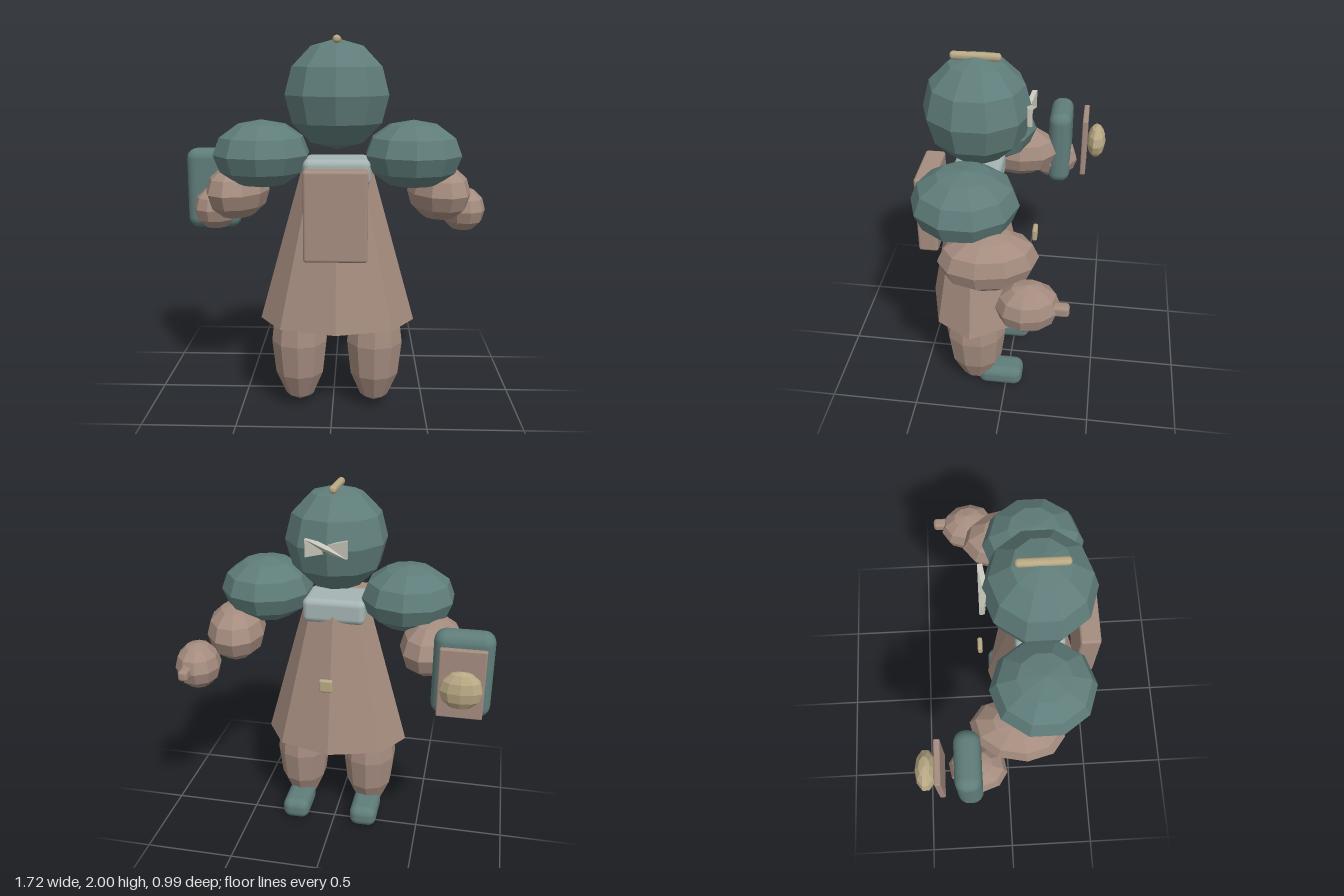
import * as THREE from 'three';
import { RoundedBoxGeometry } from 'three/addons/geometries/RoundedBoxGeometry.js';

const CX = 0.022; // body centre line

export function createModel() {
  const model = new THREE.Group();
  model.name = 'robedFigure';

  const mat = (name, color, flatShading = false) => {
    const m = new THREE.MeshStandardMaterial({ color, flatShading });
    m.name = name;
    return m;
  };
  const teal = mat('teal', 0x5f7d7a, true);
  const brown = mat('brown', 0xa58c7f, true);
  const tan = mat('tan', 0xb8a884, true);
  const bone = mat('bone', 0xc6c5ba, true);
  const mist = mat('mist', 0xa5b5b3, true);

  const add = (name, geometry, material, x, y, z, yaw = 0) => {
    const mesh = new THREE.Mesh(geometry, material);
    mesh.name = name;
    mesh.position.set(x, y, z);
    mesh.rotation.y = yaw;
    model.add(mesh);
    return mesh;
  };

  // Faceted ellipsoid with a vertex on the z axis
  const blob = (rx, ry, rz) => new THREE.SphereGeometry(1, 10, 6).rotateY(Math.PI / 2).scale(rx, ry, rz);
  const block = (w, h, d, r) => new RoundedBoxGeometry(w, h, d, 3, r);

  // Head with crest
  add('head', blob(0.28, 0.284, 0.282), teal, CX, 1.703, 0.17);
  add('crest', block(0.04, 0.04, 0.255, 0.018), tan, CX, 1.98, 0.174);

  // Bow-shaped face plate, its wings swept outward
  const bow = new THREE.Shape([
    [-0.11, -0.045], [0, -0.025], [0.11, -0.045],
    [0.11, 0.05], [0, 0.02], [-0.11, 0.05],
  ].map(([x, y]) => new THREE.Vector2(x, y)));
  const bowGeometry = new THREE.ExtrudeGeometry(bow, { depth: 0.025, bevelEnabled: false });
  const p = bowGeometry.attributes.position;
  for (let i = 0; i < p.count; i++) p.setZ(i, p.getZ(i) - 0.18 * Math.abs(p.getX(i)));
  bowGeometry.computeVertexNormals();
  add('facePlate', bowGeometry, bone, CX, 1.717, -0.101);

  // Robe, collar, pack and button
  const robe = new THREE.CylinderGeometry(0.42, 1, 0.87, 8).scale(0.417, 1, 0.279);
  add('robe', robe, brown, CX, 0.925, 0.18);
  add('collar', block(0.35, 0.14, 0.26, 0.035), mist, CX, 1.31, 0.18);
  add('backPack', block(0.322, 0.461, 0.11, 0.015), brown, CX, 1.117, 0.44);
  add('button', block(0.075, 0.075, 0.028, 0.012), tan, CX, 0.955, -0.135);

  // Mirrored limbs
  for (const s of [-1, 1]) {
    const side = s > 0 ? 'left' : 'right';
    add(side + 'Shoulder', blob(0.258, 0.18, 0.27), teal, CX + s * 0.398, 1.395, 0.175);
    add(side + 'Forearm', blob(0.165, 0.155, 0.248), brown, CX + s * 0.55, 1.175, 0.04, s * 0.2);
    add(side + 'Hand', blob(0.126, 0.128, 0.155), brown, CX + s * 0.711, 1.04, -0.172, s * 0.2);
    add(side + 'Leg', blob(0.156, 0.363, 0.172), brown, CX + s * 0.205, 0.375, 0.18);
    add(side + 'Foot', block(0.16, 0.125, 0.26, 0.05), teal, CX + s * 0.205, 0.0625, 0.035);
  }
  add('thumb', block(0.055, 0.06, 0.1, 0.018), brown, 0.752, 1.05, -0.322);

  // Held shield: padded block, plate and boss
  add('shieldPad', block(0.306, 0.465, 0.134, 0.06), teal, -0.708, 1.147, -0.216);
  add('shieldPlate', block(0.231, 0.37, 0.032, 0.008), brown, -0.708, 1.155, -0.364);
  add('shieldBoss', blob(0.109, 0.101, 0.057), tan, -0.71, 1.156, -0.435);

  // Rounded blocks are smooth; blobs and robe are faceted
  const smooth = new Map();
  model.traverse((o) => {
    if (!o.isMesh || !(o.geometry instanceof RoundedBoxGeometry)) return;
    if (!smooth.has(o.material)) {
      const m = o.material.clone();
      m.flatShading = false;
      m.name = o.material.name + 'Smooth';
      smooth.set(o.material, m);
    }
    o.material = smooth.get(o.material);
  });
  return model;
}
